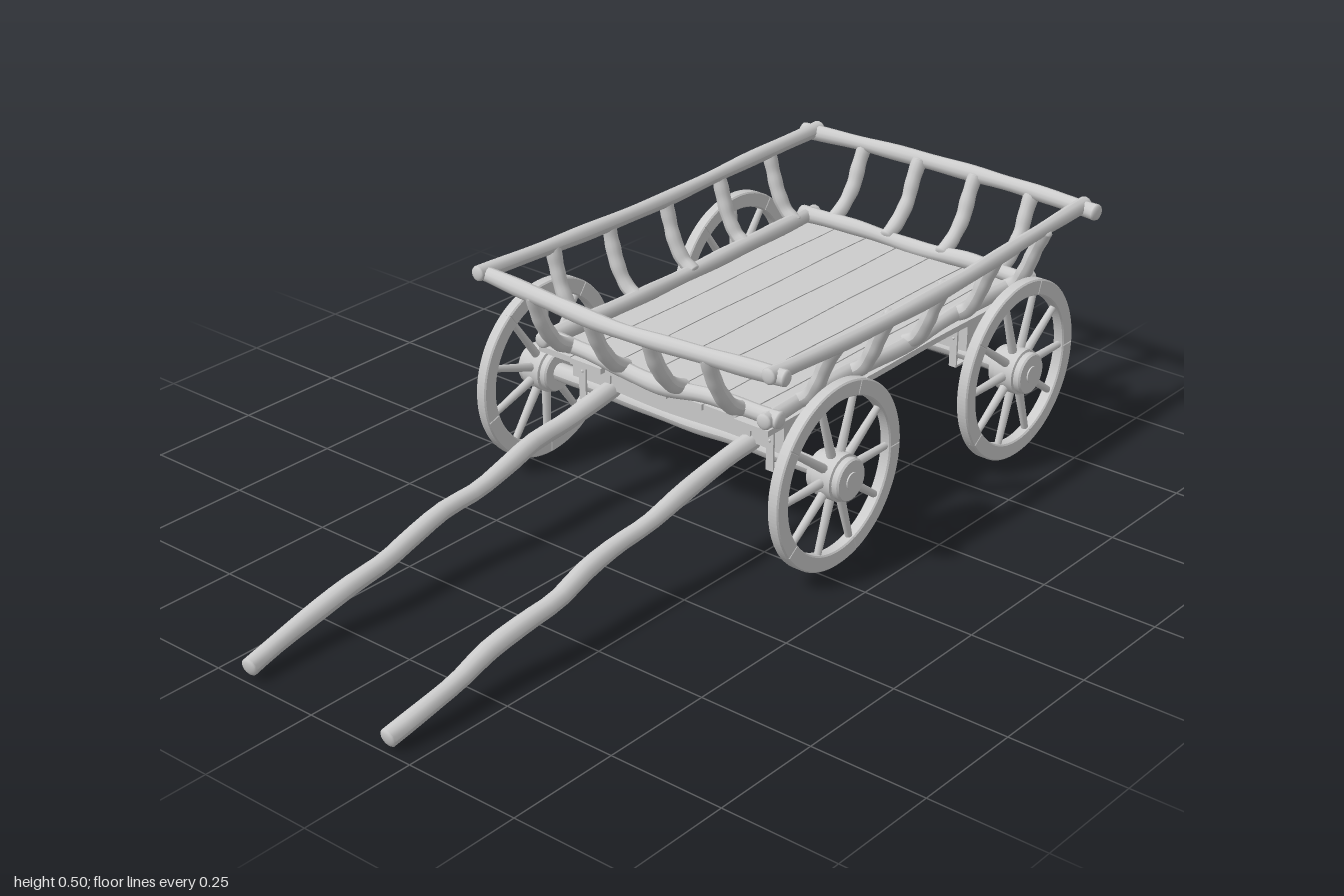
import * as THREE from 'three';
import { mergeGeometries } from 'three/addons/utils/BufferGeometryUtils.js';

const material = new THREE.MeshStandardMaterial({ color: 0xcccccc, roughness: 0.9 });
const V = (p) => new THREE.Vector3(...p);

function add(parent, name, geometry, x = 0, y = 0, z = 0) {
  const mesh = new THREE.Mesh(geometry, material);
  mesh.name = name;
  mesh.position.set(x, y, z);
  parent.add(mesh);
  return mesh;
}

// A round, slightly knotty pole along a smooth path, with blunt rounded ends
function pole(parent, name, points, r, seed = 0, rough = 0.05) {
  const curve = new THREE.CatmullRomCurve3(points.map(V));
  const rings = 28, sides = 12;
  const tube = new THREE.TubeGeometry(curve, rings, r, sides);
  const pos = tube.attributes.position, p = new THREE.Vector3();
  for (let i = 0; i <= rings; i++) {
    const c = curve.getPointAt(i / rings);
    const k = 1 + rough * Math.sin(i * 0.9 + seed * 2.1) + rough * Math.sin(i * 0.37 + seed);
    for (let j = 0; j <= sides; j++) {
      const n = i * (sides + 1) + j;
      p.fromBufferAttribute(pos, n).sub(c).multiplyScalar(k).add(c);
      pos.setXYZ(n, p.x, p.y, p.z);
    }
  }
  tube.computeVertexNormals();
  const caps = [0, 1].map((t) => {
    const k = 1 + rough * Math.sin(t * rings * 0.9 + seed * 2.1) + rough * Math.sin(t * rings * 0.37 + seed);
    const cap = new THREE.SphereGeometry(r * k, 12, 8).scale(1, 0.4, 1);
    cap.applyQuaternion(new THREE.Quaternion().setFromUnitVectors(V([0, 1, 0]), curve.getTangentAt(t)));
    const e = curve.getPointAt(t);
    return cap.translate(e.x, e.y, e.z);
  });
  return add(parent, name, mergeGeometries([tube, ...caps]), 0, 0, 0);
}

// A board whose long edges waver a little
function board(w, h, d, along, seed, amount) {
  const g = new THREE.BoxGeometry(w, h, d, along === 'x' ? 16 : 1, 1, along === 'z' ? 16 : 1);
  const pos = g.attributes.position;
  for (let i = 0; i < pos.count; i++) {
    const x = pos.getX(i), y = pos.getY(i), z = pos.getZ(i);
    if (along === 'x') pos.setY(i, y + amount * Math.sin(x * 17 + seed + Math.sign(y)));
    else pos.setX(i, x + amount * Math.sin(z * 14 + seed + Math.sign(x)));
  }
  g.computeVertexNormals();
  return g;
}

// Wheel with its axle along x; outer side towards +x
function makeWheel() {
  const wheel = new THREE.Group();
  wheel.name = 'wheel';
  const segments = 5, spokes = 10, gap = 0.008;
  for (let i = 0; i < segments; i++) {
    const a = (i / segments) * Math.PI * 2 + gap, b = ((i + 1) / segments) * Math.PI * 2 - gap;
    const s = new THREE.Shape();
    s.absarc(0, 0, 0.196, a, b, false);
    s.absarc(0, 0, 0.167, b, a, true);
    const g = new THREE.ExtrudeGeometry(s, {
      depth: 0.02, curveSegments: 14, bevelEnabled: true, bevelThickness: 0.003, bevelSize: 0.003, bevelSegments: 1,
    });
    g.translate(0, 0, -0.01).rotateY(Math.PI / 2);
    add(wheel, 'rimSegment', g);
    // Dowel band across each joint
    const joint = add(wheel, 'rimJoint', new THREE.BoxGeometry(0.018, 0.028, 0.02));
    const t = a - gap;
    joint.position.set(0, Math.sin(t) * 0.181, -Math.cos(t) * 0.181);
    joint.rotation.x = t + Math.PI / 2;
  }
  for (let i = 0; i < spokes; i++) {
    const t = ((i + 0.5) / spokes) * Math.PI * 2;
    const spoke = add(wheel, 'spoke', new THREE.CylinderGeometry(0.0075, 0.010, 0.135, 8));
    spoke.position.set(0, Math.cos(t) * 0.104, Math.sin(t) * 0.104);
    spoke.rotation.x = t;
  }
  const profile = [[0, -0.04], [0.042, -0.04], [0.045, -0.036], [0.045, -0.024], [0.05, -0.022],
    [0.05, 0.022], [0.045, 0.024], [0.045, 0.036], [0.042, 0.04], [0.018, 0.04], [0.018, 0.043], [0, 0.043]];
  // Repeated profile points keep the turned edges sharp
  const hub = new THREE.LatheGeometry(profile.flatMap(([r, y]) => [new THREE.Vector2(r, y), new THREE.Vector2(r, y)]), 24);
  add(wheel, 'hub', hub.rotateZ(-Math.PI / 2));
  return wheel;
}

function strap(parent, x, z, y0, y1, side, reach) {
  const h = y1 - y0;
  add(parent, 'strap', new THREE.BoxGeometry(0.018, h, 0.005), x, y0 + h / 2, z + side * reach);
  for (const k of [0.55, 0.72, 0.9]) {
    add(parent, 'rivet', new THREE.SphereGeometry(0.0035, 8, 6), x, y0 + h * k, z + side * (reach + 0.002));
  }
}

export function createModel() {
  const cart = new THREE.Group();
  cart.name = 'cart';

  // Running gear: axles, cross beams, iron straps and wheels
  [-0.05, -0.68].forEach((z, n) => {
    const gear = new THREE.Group();
    gear.name = n ? 'rearGear' : 'frontGear';
    cart.add(gear);
    pole(gear, 'axle', [[-0.37, 0.2, z], [-0.2, 0.2, z], [0, 0.196, z], [0.15, 0.203, z], [0.37, 0.2, z]], 0.019, n, 0.04);
    add(gear, 'crossBeam', board(0.555, 0.075, 0.06, 'x', n * 2, 0.003), 0, 0.258, z);
    for (const x of [-0.247, 0.247]) {
      for (const side of [-1, 1]) strap(gear, x, z, 0.178, 0.297, side, 0.033);
      add(gear, 'strapBottom', new THREE.BoxGeometry(0.018, 0.005, 0.07), x, 0.179, z);
    }
    for (const side of [-1, 1]) {
      const wheel = makeWheel();
      wheel.position.set(side * 0.383, 0.2, z);
      if (side < 0) wheel.rotation.y = Math.PI;
      wheel.rotation.x = side < 0 ? Math.PI / 10 : 0;
      gear.add(wheel);
    }
  });

  // Two draught poles fixed under the front beam
  [-0.18, 0.188].forEach((x, n) => {
    const points = [];
    for (let i = 0; i <= 12; i++) {
      const t = i / 12, z = -0.06 + t * 1.047;
      const y = 0.222 - 0.197 * Math.pow(t, 1.15);
      points.push([x + 0.005 * Math.sin(i * 1.7 + n * 2), y + 0.003 * Math.sin(i * 2.3 + n), z]);
    }
    pole(cart, 'draughtPole', points, 0.0195, n, 0.04);
    strap(cart, x, -0.05, 0.235, 0.297, 1, 0.033);
  });

  // Floor planks
  for (let i = 0; i < 7; i++) {
    const length = 0.91 + 0.012 * Math.sin(i * 2.4);
    add(cart, 'floorPlank', board(0.0835, 0.013, length, 'z', i * 1.9, 0.0015), (i - 3) * 0.0865, 0.304, -0.4);
  }

  // Front and rear frames: lower rail, upper rail and bent stakes
  for (const [name, s, low, high] of [['front', 1, 0.045, 0.14], ['rear', -1, -0.84, -0.943]]) {
    pole(cart, name + 'LowerRail', [[-0.305, 0.328, low - s * 0.008], [-0.15, 0.328, low], [0.02, 0.319, low + s * 0.008],
      [0.15, 0.331, low], [0.31, 0.328, low - s * 0.008]], 0.0175, s + 2);
    pole(cart, name + 'UpperRail', [[-0.385, 0.479, high - s * 0.006], [-0.2, 0.478, high + s * 0.012], [0, 0.475, high + s * 0.024],
      [0.2, 0.479, high + s * 0.014], [0.398, 0.48, high - s * 0.006]], 0.0175, s + 4);
    for (const x of [-0.225, -0.075, 0.075, 0.225]) {
      pole(cart, name + 'Stake', [[x, 0.33, low], [x, 0.348, low + s * 0.035], [x + 0.002, 0.39, low + s * 0.072],
        [x, 0.435, low + s * 0.094], [x, 0.475, high + s * 0.012]], 0.0165, x * 20, 0.03);
    }
  }

  // Side frames
  for (const s of [-1, 1]) {
    const name = s > 0 ? 'left' : 'right';
    const bow = s > 0 ? 0.014 : -0.012;
    pole(cart, name + 'LowerRail', [[s * 0.29, 0.327, -0.86], [s * 0.282, 0.33, -0.6], [s * 0.287, 0.323, -0.4],
      [s * 0.28, 0.328, -0.2], [s * 0.29, 0.327, 0.06]], 0.0175, s + 6);
    pole(cart, name + 'UpperRail', [[s * 0.358, 0.484, -0.955], [s * (0.364 + bow / 2), 0.482, -0.7], [s * (0.368 + bow), 0.476, -0.4],
      [s * (0.372 + bow), 0.48, -0.1], [s * 0.373, 0.484, 0.155]], 0.0165, s + 8);
    for (const z of [-0.78, -0.6, -0.416, -0.23, -0.056]) {
      const top = 0.368 + bow * (0.6 + z * 0.4);
      pole(cart, name + 'Stake', [[s * 0.283, 0.328, z], [s * 0.31, 0.346, z], [s * 0.333, 0.385, z + 0.002],
        [s * 0.35, 0.43, z], [s * top, 0.478, z]], 0.0165, z * 20, 0.03);
    }
  }
  return cart;
}
